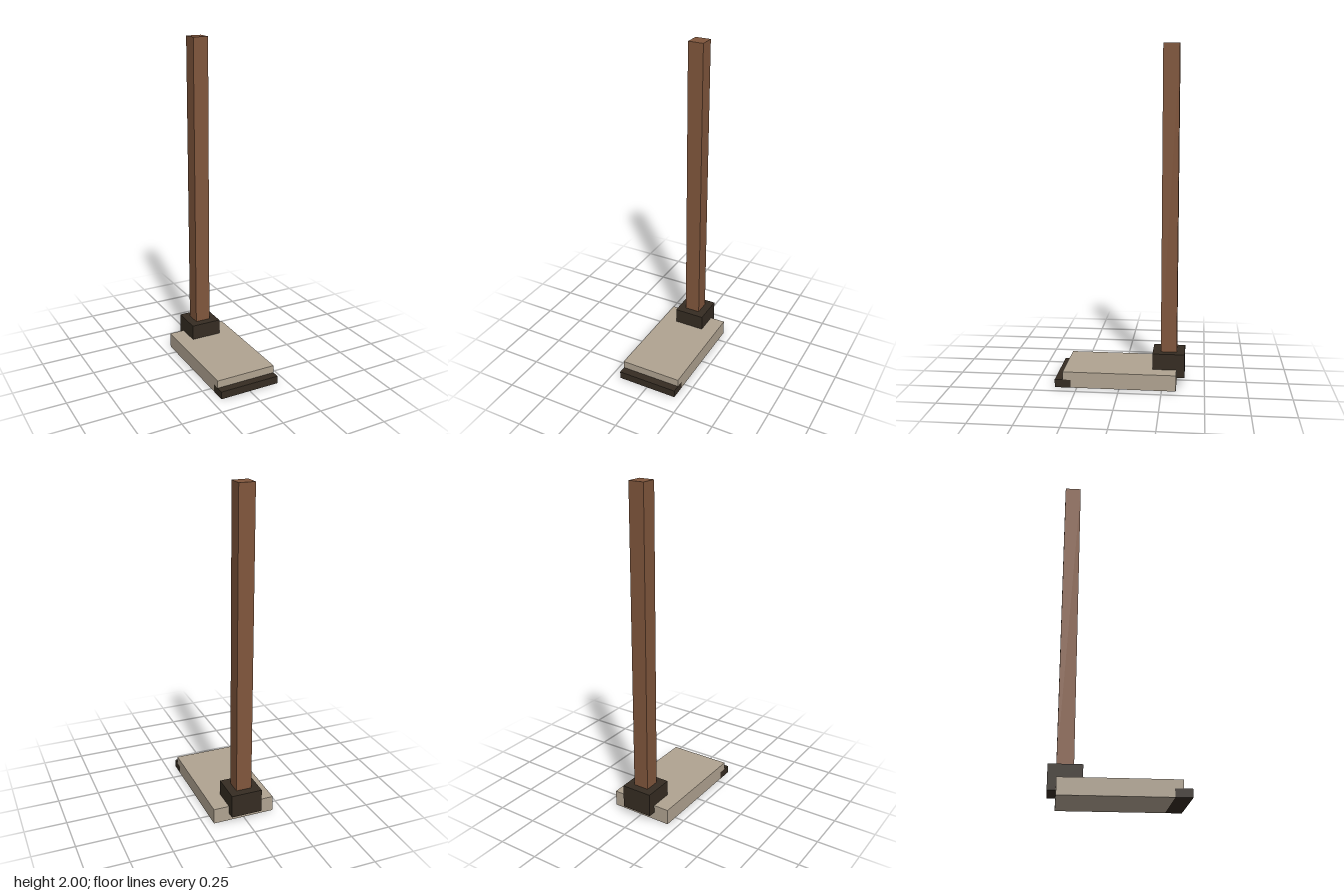
import * as THREE from 'three';

const U = 2 / 42; // modelling unit: the tool is 42 units tall

const material = (name, color) => {
  const m = new THREE.MeshStandardMaterial({ color });
  m.name = name;
  return m;
};

export function createModel() {
  const wood = material('brownWood', 0x80563c);
  const dark = material('darkIron', 0x352c22);
  const pale = material('paleStone', 0xb0a391);

  const group = new THREE.Group();
  group.name = 'longHandledTool';

  const add = (name, geometry, mat) => {
    const mesh = new THREE.Mesh(geometry, mat);
    mesh.name = name;
    group.add(mesh);
  };

  // Box from its x half width and its y and z ranges, in units
  const block = (halfX, y0, y1, z0, z1) =>
    new THREE.BoxGeometry(halfX * 2 * U, (y1 - y0) * U, (z1 - z0) * U)
      .translate(0, (y0 + y1) / 2 * U, (z0 + z1) / 2 * U);

  // Flat head: side profile (z, y) with a notch under the front for the edge strip
  const profile = [[-7, 0], [6, 0], [6, 1], [7, 1], [7, 2], [-7, 2]];
  const head = new THREE.ExtrudeGeometry(
    new THREE.Shape(profile.map(([z, y]) => new THREE.Vector2(z * U, y * U))),
    { depth: 8 * U, bevelEnabled: false }
  );
  head.translate(0, 0, -4 * U).rotateY(-Math.PI / 2);
  add('head', head, pale);

  // Front edge strip, socket at the back and upright handle
  add('frontEdge', block(4, 0, 1, 6, 8), dark);
  add('socket', block(2, 1, 4, -8, -4), dark);
  add('handle', block(1, 4, 42, -7, -5), wood);

  return group;
}
